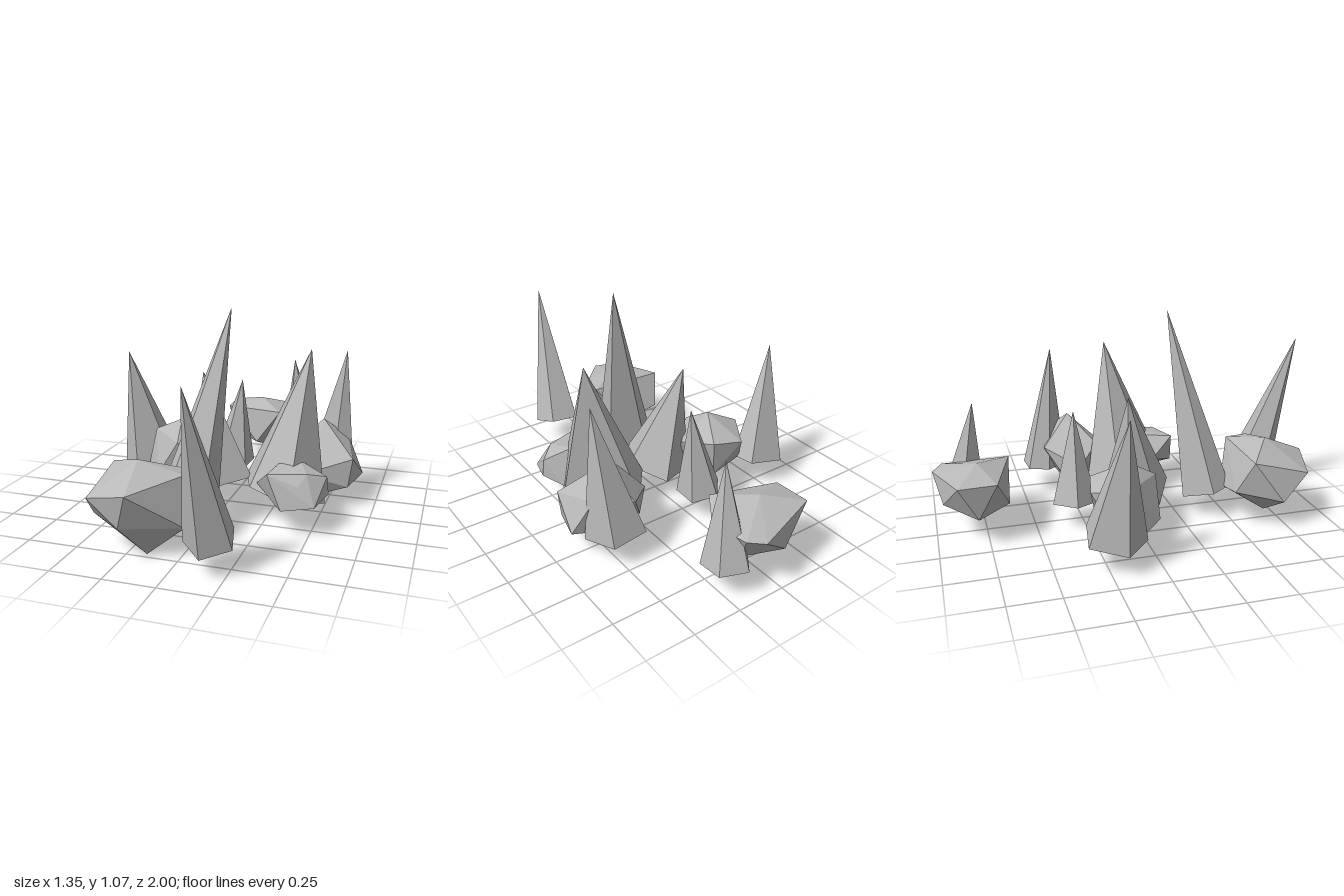
import * as THREE from 'three';
import { ConvexGeometry } from 'three/addons/geometries/ConvexGeometry.js';

const stone = new THREE.MeshStandardMaterial({ color: 0xb8b8b8, flatShading: true });
stone.name = 'grey stone';

function part(name, geometry) {
  const mesh = new THREE.Mesh(geometry, stone);
  mesh.name = name;
  return mesh;
}

// Leaning five-sided spike: tip [x, y, z], base corners [x, z], height of the base centre.
// The base lies square to the spike's axis.
function spike(name, tip, corners, baseY) {
  const n = corners.length;
  const cx = corners.reduce((s, c) => s + c[0], 0) / n;
  const cz = corners.reduce((s, c) => s + c[1], 0) / n;
  const apex = new THREE.Vector3(...tip);
  const centre = new THREE.Vector3(cx, baseY, cz);
  const axis = apex.clone().sub(centre);
  const ring = corners
    .map(([x, z]) => new THREE.Vector3(x, baseY - (axis.x * (x - cx) + axis.z * (z - cz)) / axis.y, z))
    .sort((a, b) => Math.atan2(a.z - cz, a.x - cx) - Math.atan2(b.z - cz, b.x - cx));
  const points = [];
  for (let i = 0; i < n; i++) {
    const p = ring[i], q = ring[(i + 1) % n];
    points.push(apex, q, p, centre, p, q);
  }
  const geometry = new THREE.BufferGeometry().setFromPoints(points);
  geometry.computeVertexNormals();
  return part(name, geometry);
}

// Rough boulder: the hull around a few corners, listed from the top down.
function boulder(name, corners) {
  return part(name, new ConvexGeometry(corners.map((c) => new THREE.Vector3(...c))));
}

export function createModel() {
  const model = new THREE.Group();
  model.name = 'rockSpikes';

  // Spikes
  model.add(
    spike('outerRightSpike', [-0.63, 0.745, -0.165],
      [[-0.595, -0.35], [-0.41, -0.32], [-0.4, -0.18], [-0.55, -0.055], [-0.675, -0.18]], 0.135),
    spike('smallBackSpike', [-0.01, 0.6, -0.29],
      [[-0.09, -0.42], [0.035, -0.375], [0.025, -0.23], [-0.105, -0.195], [-0.185, -0.31]], 0.13),
    spike('middleSpike', [-0.15, 0.69, -0.04],
      [[0.02, -0.14], [0.14, 0.045], [0.02, 0.225], [-0.185, 0.12], [-0.18, -0.05]], 0.13),
    spike('leftSpike', [0.425, 0.845, -0.02],
      [[0.215, -0.17], [0.095, -0.02], [0.17, 0.19], [0.39, 0.3], [0.53, 0.07]], 0.13),
    spike('tallSpike', [0.09, 1.07, 0.235],
      [[-0.12, 0.27], [-0.23, 0.4], [-0.16, 0.515], [0.03, 0.53], [0.06, 0.36]], 0.13),
    spike('backLeftSpike', [0.56, 0.795, -0.3],
      [[0.378, -0.468], [0.56, -0.473], [0.617, -0.3], [0.51, -0.235], [0.36, -0.357]], 0.13),
    spike('frontSpike', [0.125, 0.87, 1],
      [[0.1, 0.67], [0.245, 0.69], [0.28, 0.83], [0.155, 0.905], [0.04, 0.795]], 0.14),
    spike('rearSpike', [0.175, 0.63, -0.775],
      [[0.3, -0.91], [0.295, -0.765], [0.15, -0.74], [0.09, -0.86], [0.17, -0.96]], 0.13)
  );

  // Boulders
  model.add(
    boulder('frontBoulder', [
      [-0.21, 0.435, 0.68], [-0.39, 0.37, 0.55], [0.02, 0.37, 0.56], [0.01, 0.38, 0.67],
      [-0.18, 0.34, 0.9], [-0.39, 0.29, 0.845], [-0.235, 0.17, 0.86], [0.025, 0.15, 0.72],
      [-0.43, 0.16, 0.7], [-0.335, 0.2, 0.475], [-0.125, 0.16, 0.475], [-0.16, 0, 0.72]]),
    boulder('rightBoulder', [
      [-0.29, 0.41, -0.08], [-0.36, 0.3, -0.285], [-0.26, 0.32, 0.07], [-0.11, 0.29, -0.09],
      [-0.455, 0.33, -0.12], [-0.2, 0.32, -0.25], [-0.49, 0.1, -0.065], [-0.38, 0.13, 0.06],
      [-0.14, 0.15, 0.01], [-0.42, 0.15, -0.2], [-0.22, 0.12, -0.23], [-0.33, 0.04, -0.1]]),
    boulder('leftBoulder', [
      [0.46, 0.435, -0.23], [0.3, 0.3, -0.1], [0.58, 0.32, -0.33], [0.64, 0.27, -0.09],
      [0.38, 0.27, -0.38], [0.4, 0.2, 0.02], [0.21, 0.2, -0.21], [0.67, 0.14, -0.27],
      [0.62, 0.12, -0.08], [0.5, 0.12, -0.32], [0.29, 0.11, -0.28], [0.41, 0.05, -0.06]]),
    boulder('frontLeftBoulder', [
      [0.32, 0.31, 0.2], [0.42, 0.32, 0.15], [0.295, 0.3, 0.34], [0.475, 0.3, 0.28],
      [0.56, 0.27, 0.2], [0.445, 0.25, 0.335], [0.21, 0.2, 0.2], [0.57, 0.18, 0.2],
      [0.53, 0.16, 0.35], [0.37, 0.13, 0.36], [0.3, 0.13, 0.12], [0.5, 0.14, 0.11], [0.4, 0.1, 0.175]]),
    boulder('rearBoulder', [
      [-0.03, 0.38, -0.785], [0.125, 0.34, -0.61], [-0.225, 0.33, -0.895], [-0.215, 0.33, -0.705],
      [0.115, 0.3, -1], [0.19, 0.31, -0.95], [0.21, 0.29, -0.74], [-0.2, 0.15, -0.8],
      [-0.04, 0.18, -0.96], [-0.02, 0.14, -0.63], [0.13, 0.14, -0.85], [0, 0.1, -0.73]])
  );
  return model;
}
